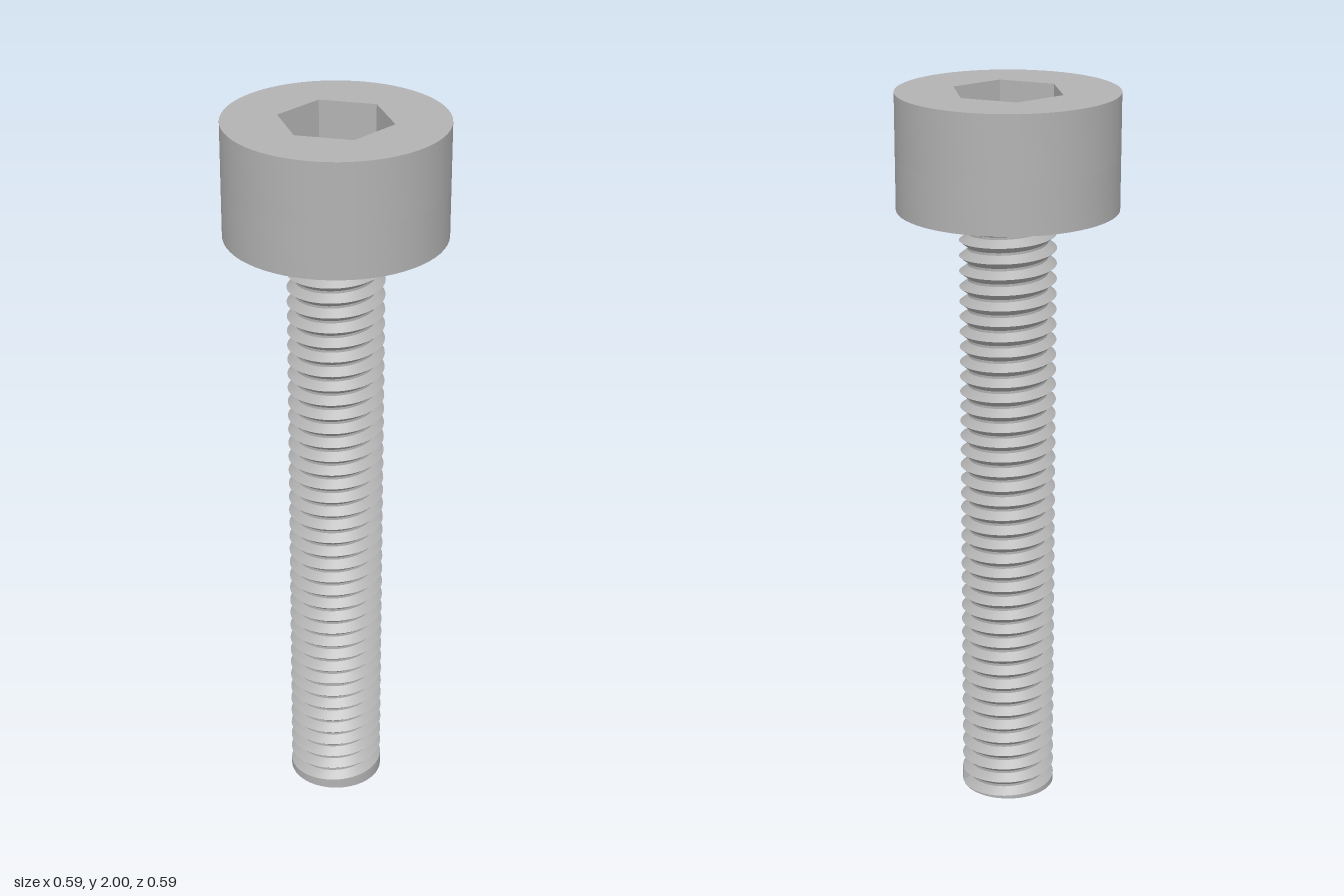
import * as THREE from 'three';
import { toCreasedNormals } from 'three/addons/utils/BufferGeometryUtils.js';

const HEAD_R = 0.295, HEAD_BOTTOM = 1.69, SOCKET_FLOOR = 1.83, SOCKET_R = 0.153;
const CREST_R = 0.13, ROOT_R = 0.107, TURNS = 40, PITCH = HEAD_BOTTOM / TURNS, SEGS = 48;

// Ribbon winding round the y axis between two edges, each given as phi -> [radius, height]
function helixStrip(turns, lower, upper) {
  const pos = [], index = [], n = turns * SEGS;
  for (let i = 0; i <= n; i++) {
    const phi = (i / SEGS) * Math.PI * 2;
    for (const [r, y] of [lower(i / SEGS), upper(i / SEGS)]) {
      pos.push(r * Math.cos(phi), y, -r * Math.sin(phi));
    }
    if (i < n) {
      const a = i * 2;
      index.push(a, a + 2, a + 3, a, a + 3, a + 1);
    }
  }
  const g = new THREE.BufferGeometry();
  g.setAttribute('position', new THREE.Float32BufferAttribute(pos, 3));
  g.setIndex(index);
  g.computeVertexNormals();
  return g;
}

// Upright round disc section, optionally with a hexagonal hole
function headSection(y0, y1, withSocket) {
  const shape = new THREE.Shape().absarc(0, 0, HEAD_R, 0, Math.PI * 2);
  if (withSocket) {
    const corners = [];
    for (let i = 0; i < 6; i++) {
      const a = THREE.MathUtils.degToRad(28.1 + i * 60);
      corners.push(new THREE.Vector2(SOCKET_R * Math.cos(a), SOCKET_R * Math.sin(a)));
    }
    shape.holes.push(new THREE.Path(corners));
  }
  const g = new THREE.ExtrudeGeometry(shape, { depth: y1 - y0, bevelEnabled: false, curveSegments: 32 });
  g.rotateX(-Math.PI / 2).translate(0, y0, 0);
  return toCreasedNormals(g, 0.5);
}

export function createModel() {
  const model = new THREE.Group();
  const steel = new THREE.MeshStandardMaterial({ color: 0xb2b2b2, side: THREE.DoubleSide });
  steel.name = 'steel grey';

  const add = (name, geometry, parent = model) => {
    const mesh = new THREE.Mesh(geometry, steel);
    mesh.name = name;
    parent.add(mesh);
    return mesh;
  };

  // Cylindrical head with hex socket
  const head = new THREE.Group();
  head.name = 'head';
  model.add(head);
  add('headBase', headSection(HEAD_BOTTOM, SOCKET_FLOOR, false), head);
  add('headSocketRing', headSection(SOCKET_FLOOR, 2, true), head);

  // Right-handed thread: lower flank, root and upper flank
  const thread = new THREE.Group();
  thread.name = 'thread';
  model.add(thread);
  const profile = [[CREST_R, 0], [ROOT_R, 0.42], [ROOT_R, 0.58], [CREST_R, 1]];
  const edge = ([r, t]) => (turn) => [r, (turn + t) * PITCH];
  ['lowerFlank', 'threadRoot', 'upperFlank'].forEach((name, i) => {
    add(name, helixStrip(TURNS, edge(profile[i]), edge(profile[i + 1])), thread);
  });

  // Wall where the groove starts
  const wall = new THREE.Shape(profile.map(([r, t]) => new THREE.Vector2(r, t * PITCH)));
  add('threadStart', new THREE.ShapeGeometry(wall), thread);

  // Plain tip below the first turn, and its end face
  add('tipCollar', helixStrip(1, () => [CREST_R, 0], edge(profile[0])));
  add('tipFace', new THREE.CircleGeometry(CREST_R, SEGS).rotateX(Math.PI / 2));

  return model;
}
